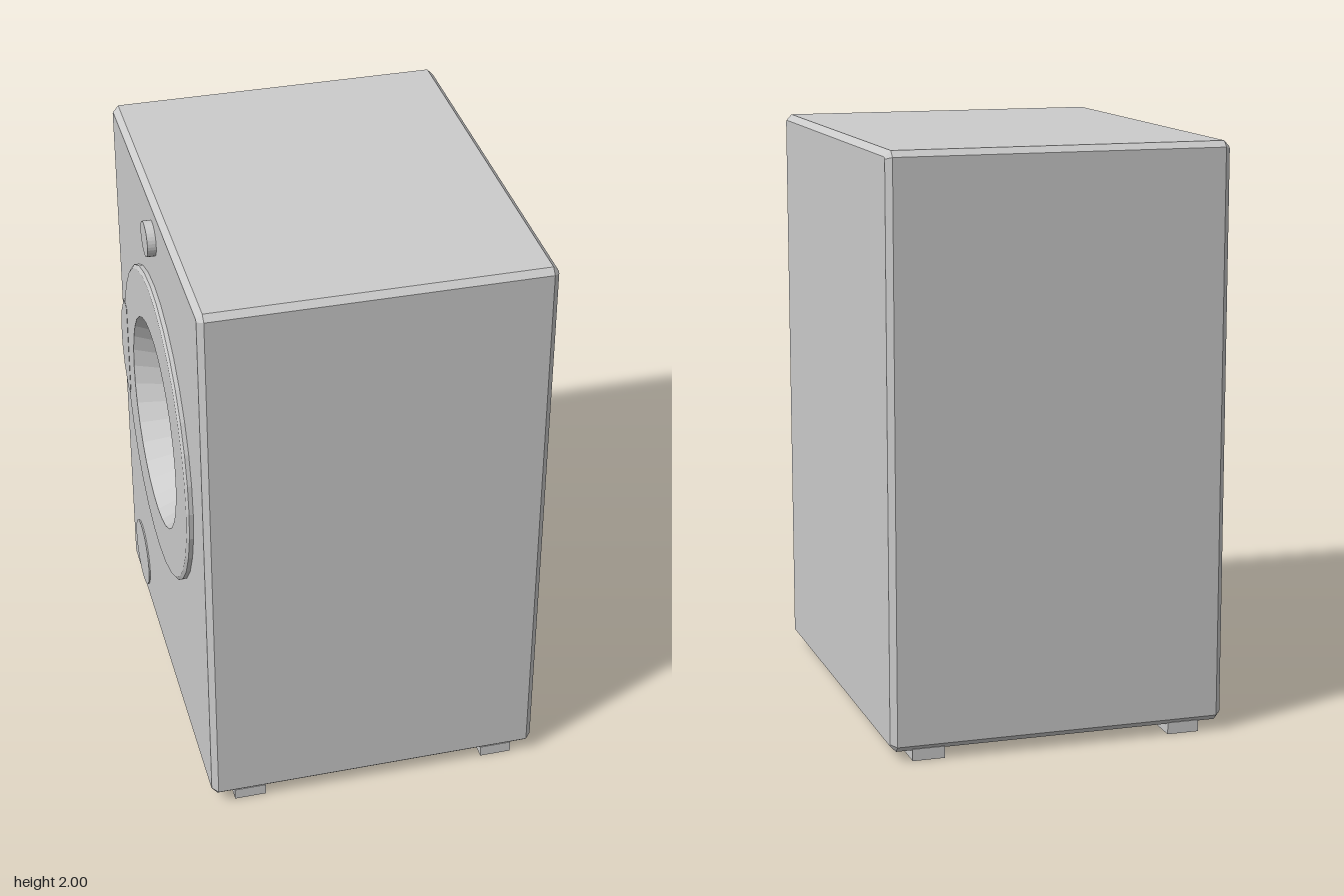
import * as THREE from 'three';

const material = new THREE.MeshStandardMaterial({ color: 0xcccccc, flatShading: true });

function addPart(parent, name, geometry, x = 0, y = 0, z = 0) {
  const mesh = new THREE.Mesh(geometry, material);
  mesh.name = name;
  mesh.position.set(x, y, z);
  parent.add(mesh);
  return mesh;
}

// Rectangle with cut corners, counter-clockwise, centred on the origin
function outline(w, h, cut) {
  const a = w / 2, b = h / 2, c = cut;
  return [[a, -b + c], [a, b - c], [a - c, b], [-a + c, b], [-a, b - c], [-a, -b + c], [-a + c, -b], [a - c, -b]]
    .map(([x, y]) => new THREE.Vector2(x, y));
}

// Side walls joining cross-sections that run from back to front
function loft(sections) {
  const pos = [];
  for (let i = 0; i < sections.length - 1; i++) {
    const s = sections[i], t = sections[i + 1], n = s.points.length;
    for (let j = 0; j < n; j++) {
      const k = (j + 1) % n;
      const quad = [[s, j], [s, k], [t, k], [s, j], [t, k], [t, j]];
      for (const [r, m] of quad) pos.push(r.points[m].x, r.points[m].y, r.z);
    }
  }
  const geometry = new THREE.BufferGeometry();
  geometry.setAttribute('position', new THREE.Float32BufferAttribute(pos, 3));
  geometry.computeVertexNormals();
  return geometry;
}

export function createModel() {
  const model = new THREE.Group();
  model.name = 'washingMachine';

  // Parts are built facing +z, then the machine is turned to face -x
  const machine = new THREE.Group();
  machine.name = 'machine';
  machine.rotation.y = -Math.PI / 2 - 0.004;
  model.add(machine);

  const W = 1.44, H = 1.965, back = -0.588, face = 0.57, bevel = 0.02;
  const doorX = -0.01, doorY = 1.13;
  const midY = 0.035 + H / 2;

  // Chamfered cabinet with a round opening in its face
  const cabinet = new THREE.Group();
  cabinet.name = 'cabinet';
  cabinet.position.y = midY;
  machine.add(cabinet);
  const full = outline(W, H, bevel);
  const small = outline(W - 2 * bevel, H - 2 * bevel, bevel / 3);
  addPart(cabinet, 'cabinetWalls', loft([
    { points: small, z: back }, { points: full, z: back + bevel },
    { points: full, z: face - bevel }, { points: small, z: face },
  ]));
  addPart(cabinet, 'backPanel', new THREE.ShapeGeometry(new THREE.Shape(small)).rotateY(Math.PI), 0, 0, back);
  const panel = new THREE.Shape(small);
  panel.holes.push(new THREE.Path().absarc(doorX, doorY - midY, 0.45, 0, Math.PI * 2, true));
  addPart(cabinet, 'frontPanel', new THREE.ShapeGeometry(panel, 32), 0, 0, face);

  // Door ring with a tapered recess and flat glass
  const profile = [[0.55, 0], [0.55, 0.014], [0.538, 0.022], [0.37, 0.022], [0.3, -0.14], [0, -0.14]]
    .map(([r, h]) => new THREE.Vector2(r, h));
  addPart(machine, 'door', new THREE.LatheGeometry(profile, 32).rotateX(Math.PI / 2), doorX, doorY, face);

  // Door handle: a thin plate overhanging the ring
  const grip = new THREE.Shape([[-0.47, -0.18], [-0.47, 0.18], [-0.52, 0.19], [-0.585, 0.1],
    [-0.605, 0.03], [-0.605, -0.05], [-0.58, -0.12], [-0.52, -0.19]].map(([x, y]) => new THREE.Vector2(x, y)));
  addPart(machine, 'doorHandle', new THREE.ExtrudeGeometry(grip, { depth: 0.008, bevelEnabled: false }),
    doorX, doorY, face + 0.015);

  // Control knob and filter cap
  addPart(machine, 'knob', new THREE.CylinderGeometry(0.06, 0.06, 0.04, 32).rotateX(Math.PI / 2), 0, 1.87, face + 0.009);
  addPart(machine, 'filterCap', new THREE.CylinderGeometry(0.125, 0.125, 0.02, 32).rotateX(Math.PI / 2), -0.51, 0.19, face - 0.005);

  // Feet
  for (const sx of [-1, 1]) for (const sz of [-1, 1]) {
    addPart(machine, 'foot', new THREE.BoxGeometry(0.14, 0.04, 0.11), sx * 0.638, 0.02, -0.012 + sz * 0.447);
  }
  return model;
}
